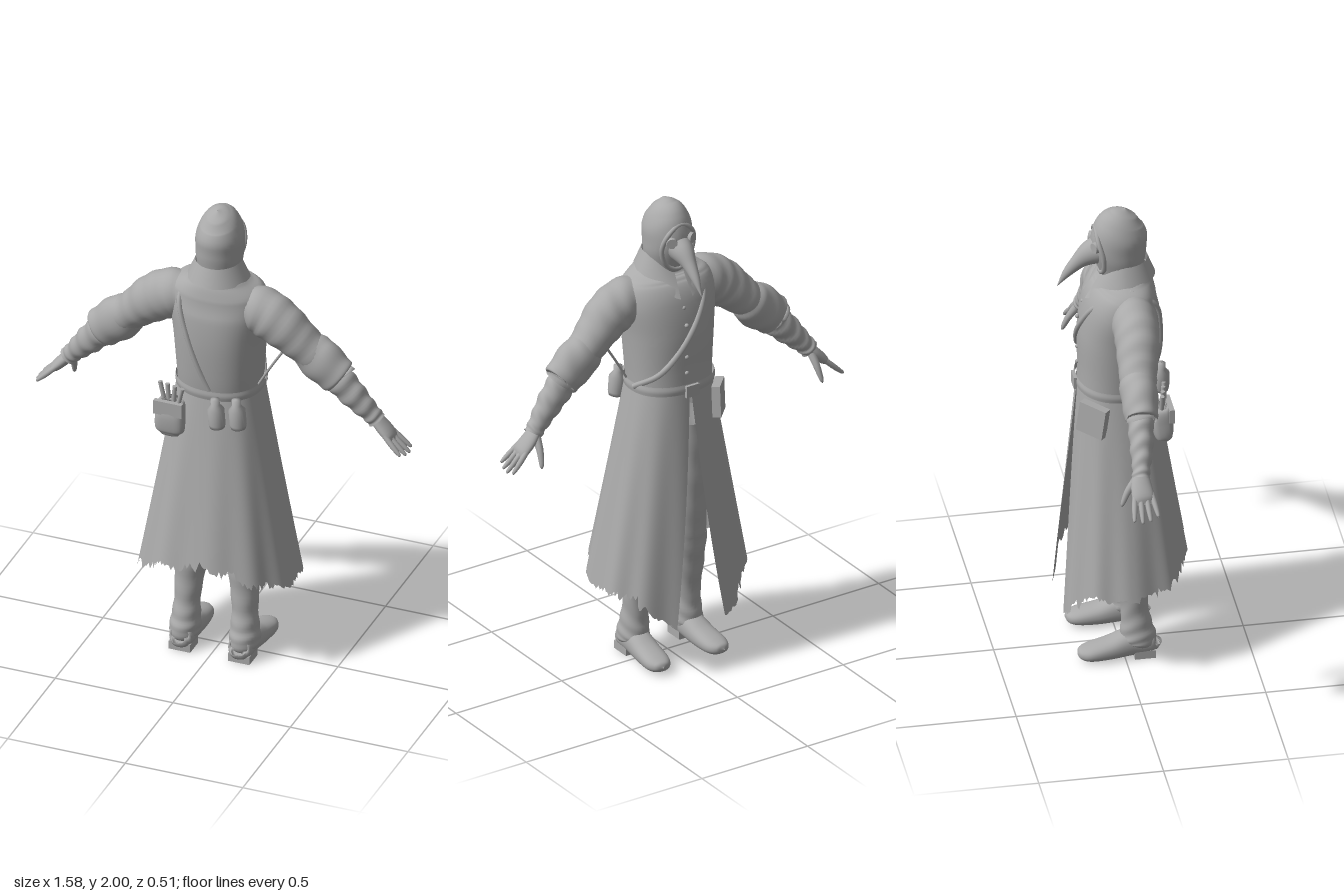
import * as THREE from 'three';
import { ParametricGeometry } from 'three/addons/geometries/ParametricGeometry.js';

const V = (x, y, z) => new THREE.Vector3(x, y, z);
const lerp = THREE.MathUtils.lerp;
const grey = new THREE.MeshStandardMaterial({ color: 0xaaaaaa, side: THREE.DoubleSide });
grey.name = 'plain grey';

const hash = (i) => { const s = Math.sin(i * 127.1 + 3.7) * 43758.5453; return s - Math.floor(s); };
const power = (v, e) => Math.sign(v) * Math.pow(Math.abs(v), e);

function add(parent, name, geometry) {
  const mesh = new THREE.Mesh(geometry, grey);
  mesh.name = name;
  parent.add(mesh);
  return mesh;
}

// Smooth skin over oval sections [x, y, z, halfWidth, halfDepth]
function sweep(sections, { round = 1, ref = V(0, 0, 1), around = 28, along = 32, wrinkle = 0, folds = 8 } = {}) {
  const path = new THREE.CatmullRomCurve3(sections.map((s) => V(s[0], s[1], s[2])), false, 'catmullrom');
  const size = new THREE.CatmullRomCurve3(sections.map((s) => V(s[3], s[4], 0)), false, 'catmullrom');
  return new ParametricGeometry((u, v, out) => {
    const a = u * Math.PI * 2;
    const r = size.getPoint(v);
    const t = path.getTangent(v);
    const side = ref.clone().cross(t).normalize();
    const up = t.clone().cross(side);
    const k = 1 + wrinkle * Math.sin(v * folds * Math.PI * 2 + 1.5 * Math.sin(a) + Math.cos(2 * a));
    out.copy(path.getPoint(v))
      .addScaledVector(side, Math.max(r.x, 0.001) * k * power(Math.cos(a), round))
      .addScaledVector(up, Math.max(r.y, 0.001) * k * power(Math.sin(a), round));
    out.y = Math.max(out.y, 0);
  }, around, along);
}

const tube = (points, radius, closed = false) =>
  new THREE.TubeGeometry(new THREE.CatmullRomCurve3(points.map((p) => V(...p)), closed), 40, radius, 8, closed);

// Long coat skirt, split down the face side, with a torn hem
function skirtGeometry() {
  const cols = 200;
  const g = new ParametricGeometry((u, v, out) => {
    const c = Math.abs(u - 0.5) * 2;
    const i = Math.round(u * cols);
    const rag = 0.03 * hash(Math.floor(i / 4)) + 0.045 * hash(i) * hash(Math.floor(i / 9) + 50);
    const hem = 0.51 - 0.14 * Math.min(1, c / 0.5) - 0.17 * Math.pow(Math.max(0, (c - 0.75) / 0.25), 1.5) - rag + 0.02;
    const y = lerp(1.22, hem, v);
    const t = 1.22 - y;
    const gap = 0.01 + 0.26 * t;
    const a = lerp(gap, Math.PI * 2 - gap, u);
    const fold = 1 + 0.025 * t * Math.sin(a * 11);
    const depth = Math.cos(a) > 0 ? 0.165 + 0.085 * t : 0.14 + 0.165 * t;
    out.set((0.17 + 0.18 * t) * fold * power(Math.sin(a), 0.85), y, -depth * fold * power(Math.cos(a), 0.85));
  }, cols, 30);
  g.computeVertexNormals();
  return g;
}

// Turned-down collar with two points under the chin
const collarGeometry = () => new ParametricGeometry((u, v, out) => {
  const a = lerp(0.22, Math.PI * 2 - 0.22, u);
  const f = Math.pow(Math.max(0, Math.cos(a)), 2);
  const y = lerp(1.78 - 0.07 * f, 1.705 - 0.09 * f, v);
  out.set(lerp(0.092, 0.125, v) * Math.sin(a), y, 0.015 - lerp(0.1, 0.13 + 0.03 * f, v) * Math.cos(a));
}, 48, 6);

function buildArm() {
  const arm = new THREE.Group();
  add(arm, 'sleeve', sweep([
    [0.1, 1.6, 0.03, 0.08, 0.08], [0.19, 1.585, 0.03, 0.1, 0.09], [0.27, 1.54, 0.028, 0.097, 0.088],
    [0.35, 1.47, 0.015, 0.08, 0.078], [0.43, 1.4, 0.005, 0.07, 0.065], [0.5, 1.34, 0, 0.05, 0.045]],
  { wrinkle: 0.02, folds: 7 }));
  add(arm, 'sleeveCuff', sweep([
    [0.37, 1.45, 0.008, 0.072, 0.068], [0.41, 1.415, 0.006, 0.092, 0.074],
    [0.47, 1.365, 0.004, 0.087, 0.07], [0.505, 1.335, 0, 0.078, 0.064], [0.5, 1.34, 0, 0.045, 0.045]],
  { wrinkle: 0.025, folds: 3 }));
  add(arm, 'gloveSleeve', sweep([
    [0.46, 1.37, 0, 0.055, 0.05], [0.52, 1.305, -0.004, 0.062, 0.05], [0.58, 1.24, -0.012, 0.052, 0.045],
    [0.63, 1.185, -0.022, 0.04, 0.036], [0.655, 1.155, -0.028, 0.038, 0.036]],
  { wrinkle: 0.06, folds: 5 }));
  add(arm, 'palm', sweep([
    [0.635, 1.18, -0.025, 0.02, 0.028], [0.67, 1.14, -0.03, 0.024, 0.04],
    [0.71, 1.1, -0.028, 0.02, 0.044], [0.73, 1.08, -0.026, 0.004, 0.03]], { along: 12 }));
  // Four fingers fanned out along z
  for (let i = 0; i < 4; i++) {
    const z0 = -0.06 + i * 0.022, z1 = -0.075 + i * 0.032;
    const reach = [0.96, 1.05, 1, 0.85][i];
    add(arm, 'finger', sweep([
      [0.7, 1.11, z0, 0.011, 0.011], [0.705 + 0.04 * reach, 1.105 - 0.038 * reach, lerp(z0, z1, 0.6), 0.011, 0.011],
      [0.705 + 0.075 * reach, 1.105 - 0.07 * reach, z1, 0.007, 0.007],
      [0.71 + 0.076 * reach, 1.1 - 0.07 * reach, z1, 0.001, 0.001]], { around: 10, along: 10 }));
  }
  add(arm, 'thumb', sweep([
    [0.65, 1.15, -0.045, 0.018, 0.018], [0.655, 1.1, -0.08, 0.014, 0.014],
    [0.662, 1.05, -0.102, 0.009, 0.009], [0.665, 1.035, -0.106, 0.001, 0.001]], { around: 10, along: 10 }));
  return arm;
}

function buildLeg() {
  const leg = new THREE.Group();
  add(leg, 'trouserLeg', sweep([
    [0.085, 1.02, 0, 0.08, 0.1], [0.095, 0.75, 0.005, 0.08, 0.09], [0.105, 0.52, 0.015, 0.075, 0.075],
    [0.115, 0.38, 0.028, 0.062, 0.062]], { wrinkle: 0.015, folds: 5 }));
  add(leg, 'bootShaft', sweep([
    [0.106, 0.5, 0.016, 0.078, 0.08], [0.115, 0.36, 0.028, 0.065, 0.067], [0.122, 0.22, 0.042, 0.052, 0.055],
    [0.125, 0.13, 0.05, 0.058, 0.065], [0.127, 0.075, 0.055, 0.062, 0.074], [0.127, 0.05, 0.05, 0.045, 0.05]],
  { wrinkle: 0.025, folds: 6 }));
  add(leg, 'bootFoot', sweep([
    [0.125, 0.06, 0.122, 0.02, 0.025], [0.125, 0.058, 0.11, 0.048, 0.045], [0.127, 0.062, 0.03, 0.052, 0.055],
    [0.132, 0.045, -0.06, 0.055, 0.043], [0.138, 0.036, -0.14, 0.052, 0.032], [0.142, 0.036, -0.178, 0.032, 0.02],
    [0.143, 0.036, -0.19, 0.002, 0.002]], { ref: V(0, 1, 0), round: 0.85 })
    .rotateX(0));
  add(leg, 'bootHeel', new THREE.BoxGeometry(0.092, 0.035, 0.085)).position.set(0.126, 0.0175, 0.078);
  return leg;
}

function buildHead() {
  const head = new THREE.Group();
  add(head, 'hood', sweep([
    [0, 1.68, 0.02, 0.07, 0.07], [0, 1.74, 0.012, 0.085, 0.09], [0, 1.81, 0.004, 0.095, 0.106],
    [0, 1.88, 0.002, 0.095, 0.112], [0, 1.94, 0.008, 0.078, 0.094], [0, 1.98, 0.02, 0.045, 0.055],
    [0, 2, 0.028, 0.002, 0.002]], { wrinkle: 0.008, folds: 4 }));
  add(head, 'hoodRim', tube([[0, 1.925, -0.092], [0.055, 1.89, -0.09], [0.074, 1.82, -0.072], [0.05, 1.75, -0.068],
    [0, 1.725, -0.075], [-0.05, 1.75, -0.068], [-0.074, 1.82, -0.072], [-0.055, 1.89, -0.09]], 0.01, true));
  add(head, 'beak', sweep([
    [0, 1.83, -0.06, 0.06, 0.062], [0, 1.808, -0.115, 0.045, 0.05], [0, 1.775, -0.16, 0.028, 0.032],
    [0, 1.725, -0.207, 0.016, 0.018], [0, 1.67, -0.245, 0.001, 0.001]]));
  for (const s of [1, -1]) {
    const eye = add(head, 'goggle', new THREE.CylinderGeometry(0.021, 0.024, 0.02, 20));
    eye.position.set(0.045 * s, 1.858, -0.1);
    eye.rotation.set(-Math.PI / 2, 0, -0.45 * s);
  }
  return head;
}

function buildBeltItems() {
  const items = new THREE.Group();
  // Two stoppered flasks
  const flask = [[0.001, 0], [0.03, 0.004], [0.034, 0.02], [0.034, 0.085], [0.018, 0.105], [0.018, 0.13], [0.001, 0.132]];
  for (const [x, z] of [[0.06, 0.18], [0.14, 0.155]]) {
    const f = add(items, 'flask', new THREE.LatheGeometry(flask.map((p) => new THREE.Vector2(...p)), 20));
    f.position.set(x, 1.1, z);
    f.rotation.z = 0.08;
  }
  // Stuffed satchel with flap and small tools in its top
  add(items, 'satchel', sweep([[-0.15, 1.025, 0.15, 0.03, 0.02], [-0.15, 1.035, 0.15, 0.06, 0.035],
    [-0.15, 1.1, 0.145, 0.062, 0.045], [-0.15, 1.16, 0.14, 0.052, 0.035], [-0.15, 1.165, 0.14, 0.01, 0.01]], { round: 0.6 }));
  add(items, 'satchelFlap', new THREE.BoxGeometry(0.12, 0.06, 0.02)).position.set(-0.15, 1.14, 0.178);
  for (let i = 0; i < 4; i++) {
    const tool = add(items, 'tool', new THREE.CylinderGeometry(0.009, 0.009, 0.09, 10));
    tool.position.set(-0.19 + i * 0.028, 1.19, 0.14 + 0.008 * i);
    tool.rotation.z = 0.15 * (1.5 - i);
  }
  // Flat book pouch on the other side
  const pouch = add(items, 'bookPouch', new THREE.BoxGeometry(0.12, 0.13, 0.035));
  pouch.position.set(-0.155, 1.13, -0.13);
  pouch.rotation.set(0.08, 0.85, 0.06);
  return items;
}

export function createModel() {
  const model = new THREE.Group();
  model.name = 'cloakedFigure';

  add(model, 'coatBody', sweep([
    [0, 1.19, -0.013, 0.168, 0.15], [0, 1.3, -0.005, 0.174, 0.157], [0, 1.45, 0, 0.185, 0.162],
    [0, 1.58, 0.008, 0.2, 0.15], [0, 1.66, 0.022, 0.185, 0.122], [0, 1.7, 0.025, 0.13, 0.1],
    [0, 1.74, 0.02, 0.08, 0.08]], { round: 0.88, around: 48 }));
  add(model, 'coatSkirt', skirtGeometry());
  add(model, 'collar', collarGeometry());
  add(model, 'belt', sweep([[0, 1.205, -0.013, 0.178, 0.16], [0, 1.225, -0.012, 0.181, 0.163],
    [0, 1.245, -0.011, 0.178, 0.16]], { round: 0.88, around: 48, along: 6 }));
  add(model, 'buckle', new THREE.BoxGeometry(0.06, 0.05, 0.012)).position.set(0, 1.225, -0.178);

  // Shoulder strap across the chest and down the back
  add(model, 'chestStrap', tube([[-0.13, 1.69, 0.03], [-0.1, 1.62, -0.105], [-0.04, 1.52, -0.153], [0.04, 1.41, -0.162],
    [0.12, 1.31, -0.132], [0.178, 1.23, -0.03]], 0.012));
  add(model, 'backStrap', tube([[-0.13, 1.69, 0.03], [-0.125, 1.62, 0.125], [-0.09, 1.5, 0.152], [-0.04, 1.36, 0.158],
    [0.01, 1.24, 0.146]], 0.01));
  add(model, 'looseStrap', tube([[0.28, 1.42, 0.03], [0.23, 1.34, 0.03], [0.175, 1.245, 0.03]], 0.005));
  for (let i = 0; i < 5; i++) {
    add(model, 'button', new THREE.SphereGeometry(0.009, 12, 8)).position.set(0.015, 1.3 + i * 0.07, i < 4 ? -0.162 : -0.14);
  }

  // Matching limbs on both sides
  for (const s of [1, -1]) {
    const side = s > 0 ? 'left' : 'right';
    const arm = buildArm(), leg = buildLeg();
    arm.name = side + 'Arm';
    leg.name = side + 'Leg';
    arm.scale.x = leg.scale.x = s;
    model.add(arm, leg);
  }

  const head = buildHead();
  head.name = 'hoodedHead';
  const items = buildBeltItems();
  items.name = 'beltItems';
  model.add(head, items);
  return model;
}
